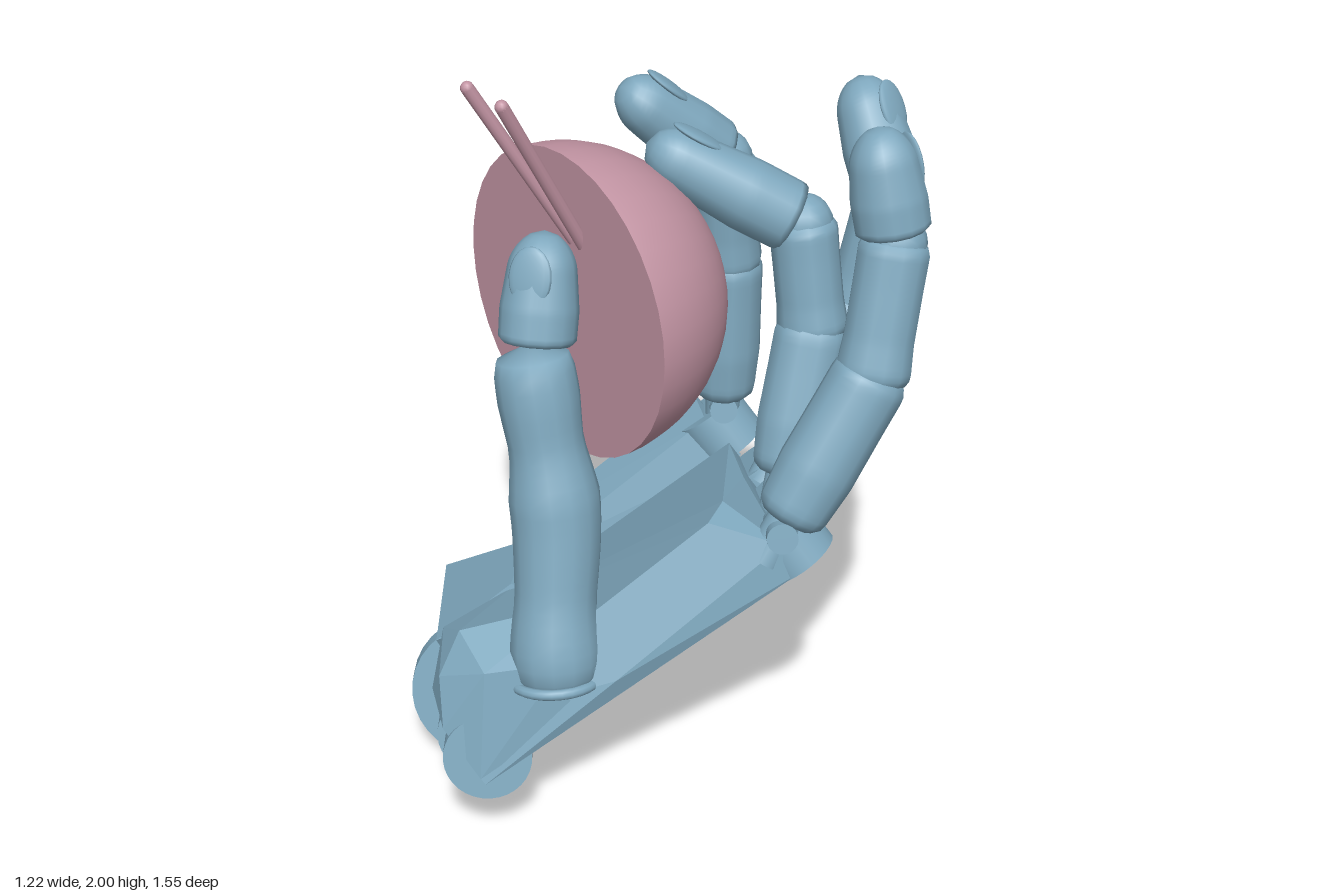
import * as THREE from 'three';
import { ConvexGeometry } from 'three/addons/geometries/ConvexGeometry.js';
import { mergeVertices } from 'three/addons/utils/BufferGeometryUtils.js';

const V = (p) => new THREE.Vector3(...p);
const blue = new THREE.MeshStandardMaterial({ color: 0x7fa8be });
const blueFlat = new THREE.MeshStandardMaterial({ color: 0x7fa8be, flatShading: true });
const pink = new THREE.MeshStandardMaterial({ color: 0xc294a3 });
const UP = new THREE.Vector3(0, 1, 0);

function add(parent, name, geometry, material = blue) {
  const mesh = new THREE.Mesh(geometry, material);
  mesh.name = name;
  parent.add(mesh);
  return mesh;
}

// Cylinder running from a to b
function rod(parent, name, a, b, r, material = blue, sides = 20) {
  const d = b.clone().sub(a);
  const mesh = add(parent, name, new THREE.CylinderGeometry(r, r, d.length(), sides), material);
  mesh.position.copy(a).lerp(b, 0.5);
  mesh.quaternion.setFromUnitVectors(UP, d.normalize());
}

// Tube whose radius follows a list and whose two ends are rounded off
function limb(points, radii, startRound, endRound, sides = 14) {
  const steps = 26;
  const curve = new THREE.CatmullRomCurve3(points);
  const length = curve.getLength();
  const geo = new THREE.TubeGeometry(curve, steps, 1, sides);
  const pos = geo.attributes.position;
  const v = new THREE.Vector3(), c = new THREE.Vector3();
  const ease = (x) => Math.sqrt(Math.max(0, 1 - (1 - Math.min(x, 1)) ** 2));
  for (let i = 0; i < pos.count; i++) {
    const t = Math.floor(i / (sides + 1)) / steps;
    const k = Math.min(t * (radii.length - 1), radii.length - 1.0001);
    const j = Math.floor(k);
    const r = THREE.MathUtils.lerp(radii[j], radii[j + 1], k - j)
      * ease(t * length / startRound) * ease((1 - t) * length / endRound);
    curve.getPointAt(t, c);
    v.fromBufferAttribute(pos, i).sub(c).multiplyScalar(r).add(c);
    pos.setXYZ(i, v.x, v.y, v.z);
  }
  geo.deleteAttribute('uv');
  geo.deleteAttribute('normal');
  const merged = mergeVertices(geo, 1e-5);
  merged.computeVertexNormals();
  return merged;
}

// Fingertip with a nail on the outer side of the bend
function fingertip(parent, from, to, before, r) {
  const dir = to.clone().sub(from).normalize();
  add(parent, 'fingertip', limb([from, from.clone().lerp(to, 0.5), to], [r, r * 1.02, r * 0.9, r * 0.75], 0.02, 0.09));
  const out = from.clone().sub(before).normalize();
  out.addScaledVector(dir, -out.dot(dir)).normalize();
  const side = dir.clone().cross(out);
  const nail = add(parent, 'nail', new THREE.SphereGeometry(1, 16, 10));
  nail.scale.set(r * 0.58, r * 0.8, r * 0.14);
  nail.quaternion.setFromRotationMatrix(new THREE.Matrix4().makeBasis(side, dir, out));
  nail.position.copy(to).addScaledVector(dir, -0.11).addScaledVector(out, r * 0.8);
}

function finger(parent, name, coords, r, across) {
  const g = new THREE.Group();
  g.name = name;
  parent.add(g);
  const [base, knuckle, joint, tip] = coords.map(V);
  const d = knuckle.clone().sub(base).normalize();
  // Hinge pin and link at the palm
  const pin = across.clone().multiplyScalar(r * 0.7);
  const hinge = base.clone().addScaledVector(d, -0.02);
  rod(g, 'hingePin', hinge.clone().sub(pin), hinge.clone().add(pin), r * 0.4);
  rod(g, 'hingeLink', base.clone().addScaledVector(d, -0.11), base.clone().addScaledVector(d, 0.1), r * 0.5);
  // Lower and middle segments
  const start = base.clone().addScaledVector(d, -0.005);
  add(g, 'lowerSegment', limb([start, start.clone().lerp(knuckle, 0.5), knuckle.clone().addScaledVector(d, 0.04)],
    [r * 0.88, r * 1.02, r, r], 0.05, 0.07, 12));
  const m = joint.clone().sub(knuckle).normalize();
  add(g, 'middleSegment', limb([knuckle.clone().addScaledVector(m, -0.05), knuckle.clone().lerp(joint, 0.5),
    joint.clone().addScaledVector(m, 0.03)], [r, r * 0.9, r * 0.9, r * 0.92], 0.06, 0.05, 12));
  // Outer joint
  add(g, 'outerJoint', new THREE.SphereGeometry(r * 0.8, 14, 10)).position.copy(joint);
  const e = tip.clone().sub(joint).normalize();
  fingertip(g, joint.clone().addScaledVector(e, 0.02), tip, knuckle, r * 0.95);
}

export function createModel() {
  const model = new THREE.Group();
  model.name = 'handHoldingHalfBall';

  // Palm frame: x across the hand, y towards the fingers, z out of the palm
  const u = V([0.37, 0.575, -0.73]).normalize();
  const w = V([0.78, 0.22, 0.58]);
  w.addScaledVector(u, -w.dot(u)).normalize();
  const n = w.clone().cross(u);
  const palm = new THREE.Group();
  palm.name = 'palm';
  palm.position.set(-0.205, 0.075, 0.47);
  palm.quaternion.setFromRotationMatrix(new THREE.Matrix4().makeBasis(w, u, n));
  model.add(palm);
  const hull = (name, pts) => add(palm, name, new ConvexGeometry(pts.map(V)), blueFlat);

  // Main plate, thicker along the first finger
  hull('palmPlate', [
    [0.45, 0.05, 0.02], [0.46, 1.05, 0.01], [-0.2, 0.1, 0.04], [-0.2, 1.0, 0.05],
    [0.42, 0.05, 0.2], [0.44, 0.93, 0.25], [0.36, 0.98, 0.25], [-0.2, 0.12, 0.2],
    [-0.2, 1.0, 0.2], [0.1, 1.02, 0.19], [0.48, 0.5, 0.06], [0.47, 1.05, 0.1]]);
  // Heel with the raised thumb mound
  hull('heel', [
    [-0.37, 0.11, 0.34], [-0.4, 0.13, 0.22], [-0.39, 0.36, 0.19], [-0.3, 0.36, 0.28], [0.05, 0.09, 0.29],
    [0.08, 0.07, 0.2], [0.1, 0.45, 0.2], [-0.2, 0.14, 0.05], [-0.34, 0.17, 0.1], [-0.39, 0.32, 0.11],
    [-0.2, 0.44, 0.05], [0, 0.32, 0.29], [0.2, 0.12, 0.34]]);
  hull('thumbMound', [
    [0.05, 0.12, 0.29], [0.24, 0.17, 0.37], [0.35, 0.23, 0.37], [0.38, 0.12, 0.31], [0.42, 0.05, 0.2], [0.3, 0.06, 0.27],
    [0.45, 0.05, 0.04], [0.46, 0.35, 0.04], [0.48, 0.42, 0.18], [0.46, 0.24, 0.27], [0.36, 0.5, 0.26], [0.1, 0.45, 0.2],
    [0, 0.32, 0.28], [0.08, 0.09, 0.1]]);
  // Folded bar carrying the last finger
  hull('lastFingerBar', [
    [-0.4, 0.32, 0.14], [-0.25, 0.3, 0.09], [-0.41, 0.98, 0.21], [-0.24, 1.0, 0.14],
    [-0.37, 0.34, 0.3], [-0.25, 0.34, 0.25], [-0.39, 0.98, 0.33], [-0.25, 0.98, 0.28]]);
  // Rounded knuckle lobes
  for (const [a, b, c, h] of [[0.37, 1.05, 0.06, 0.1], [0.13, 1.09, 0.08, 0.1], [-0.1, 1.03, 0.1, 0.1], [-0.32, 0.99, 0.22, 0.13]]) {
    const lobe = add(palm, 'knuckleLobe', new THREE.CylinderGeometry(0.1, 0.1, h, 24));
    lobe.rotation.x = Math.PI / 2;
    lobe.position.set(a, b, c);
  }

  // Wrist ears and rounded wrist corner, all hinged across the hand
  for (const [name, p, r, t] of [
    ['wristDisc', [-0.21, 0.205, 0.45], 0.2, 0.06],
    ['wristEar', [-0.49, 0.155, 0.25], 0.11, 0.07],
    ['wristEar', [-0.37, 0.155, 0.31], 0.1, 0.05],
    ['wristBarrel', [-0.03, 0.24, 0.59], 0.11, 0.09],
    ['wristCorner', [0.1, 0.275, 0.65], 0.115, 0.1]]) {
    const half = w.clone().multiplyScalar(t / 2);
    rod(model, name, V(p).sub(half), V(p).add(half), r, blue, 32);
  }

  // Four fingers: base, knuckle, outer joint, tip
  finger(model, 'firstFinger', [[0.46, 0.89, -0.03], [0.5, 1.26, -0.27], [0.455, 1.57, -0.365], [0.39, 1.86, -0.35]], 0.1, w);
  finger(model, 'secondFinger', [[0.29, 0.89, -0.17], [0.225, 1.26, -0.31], [0.17, 1.53, -0.315], [-0.08, 1.745, -0.01]], 0.097, w);
  finger(model, 'thirdFinger', [[0.1, 0.83, -0.33], [0.1, 1.18, -0.585], [0.11, 1.49, -0.67], [-0.065, 1.755, -0.7]], 0.1, w);
  finger(model, 'lastFinger', [[-0.18, 0.85, -0.35], [-0.19, 1.27, -0.37], [-0.19, 1.57, -0.35], [-0.28, 1.81, -0.08]], 0.095, w);

  // Thumb with its ball joint and socket ring
  const thumb = new THREE.Group();
  thumb.name = 'thumb';
  model.add(thumb);
  const path = [[0.2, 0.43, 0.49], [0.16, 0.6, 0.47], [0.09, 0.9, 0.41], [0.025, 1.15, 0.4], [-0.025, 1.34, 0.395]].map(V);
  add(thumb, 'thumbBody', limb(path, [0.11, 0.12, 0.105, 0.112, 0.117, 0.095, 0.105, 0.098], 0.1, 0.06));
  add(thumb, 'thumbBall', new THREE.SphereGeometry(0.118, 20, 14)).position.set(0.17, 0.54, 0.475);
  fingertip(thumb, V([-0.025, 1.32, 0.375]), V([-0.085, 1.595, 0.3]), V([0, 1.1, 0.4]), 0.097);
  const ring = add(thumb, 'thumbSocket', new THREE.TorusGeometry(0.108, 0.014, 10, 28));
  ring.position.set(0.185, 0.48, 0.49);
  ring.quaternion.setFromUnitVectors(V([0, 0, 1]), path[1].clone().sub(path[0]).normalize());

  // Half ball with its flat face to the front
  const ball = new THREE.Group();
  ball.name = 'halfBall';
  ball.position.set(-0.1, 1.365, 0.235);
  model.add(ball);
  add(ball, 'dome', new THREE.SphereGeometry(0.41, 36, 14, 0, Math.PI * 2, 0, Math.PI / 2).rotateX(-Math.PI / 2), pink);
  add(ball, 'flatFace', new THREE.CircleGeometry(0.41, 36), pink);

  // Two thin sticks rising from the flat face
  for (const [a, b] of [[[-0.07, 1.53, 0.21], [-0.158, 1.985, 0.46]], [[-0.035, 1.53, 0.21], [-0.015, 1.985, 0.46]]]) {
    rod(model, 'stick', V(a), V(b), 0.017, pink, 12);
    add(model, 'stickEnd', new THREE.SphereGeometry(0.017, 12, 8), pink).position.copy(V(b));
  }
  return model;
}
